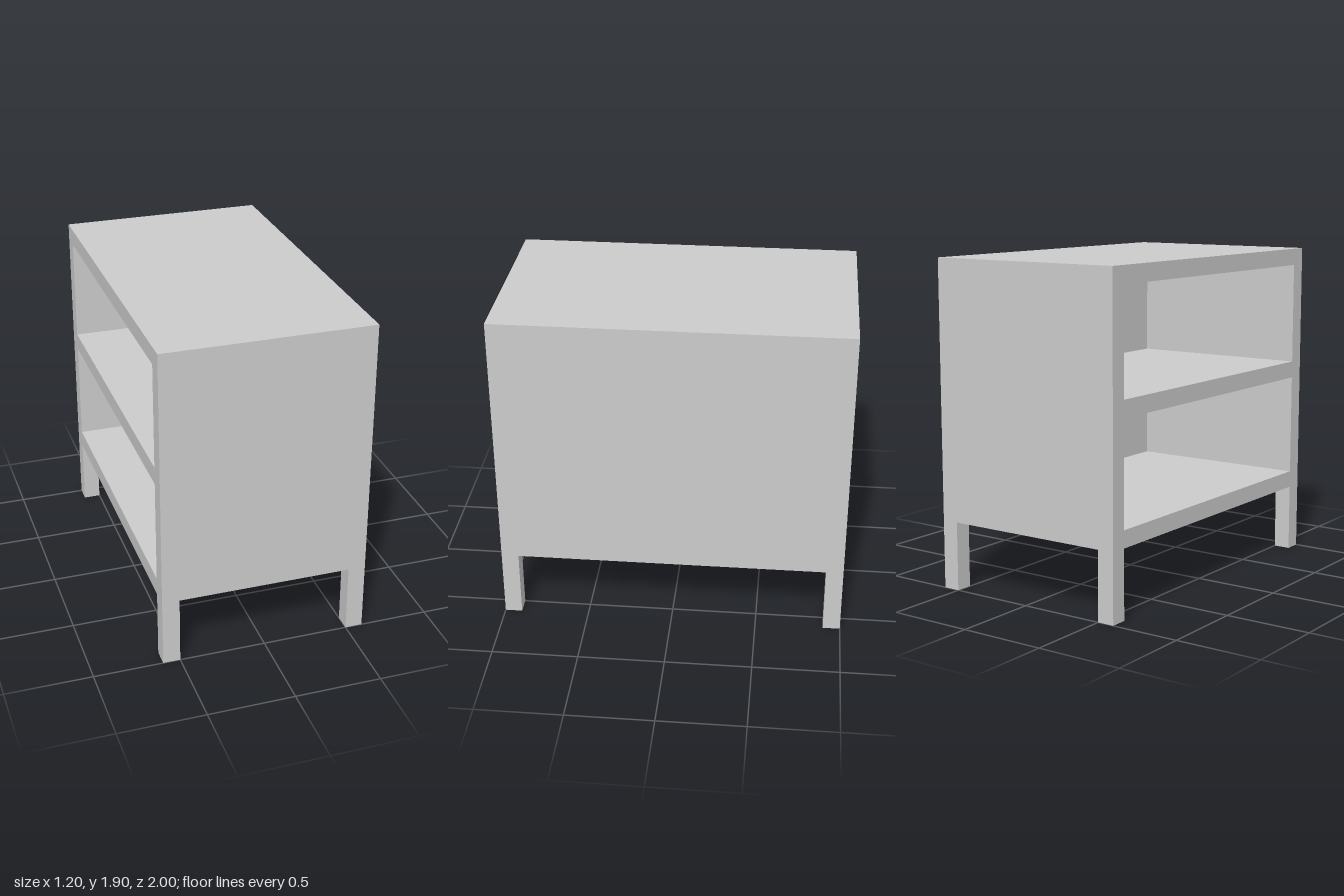
import * as THREE from 'three';

const W = 1.2, H = 1.9, D = 2, T = 0.1, LEG = 0.4;

export function createModel() {
  const model = new THREE.Group();
  model.name = 'shelfCabinet';
  const material = new THREE.MeshStandardMaterial({ color: 0xcccccc });

  function board(name, w, h, d, x, y, z) {
    const mesh = new THREE.Mesh(new THREE.BoxGeometry(w, h, d), material);
    mesh.name = name;
    mesh.position.set(x, y, z);
    model.add(mesh);
  }

  const bodyHeight = H - LEG;
  const midY = LEG + bodyHeight / 2;

  // Top and bottom boards span the full footprint
  board('topBoard', W, T, D, 0, H - T / 2, 0);
  board('bottomBoard', W, T, D, 0, LEG + T / 2, 0);

  // End walls and the closed long wall; the -x side stays open
  const wallHeight = bodyHeight - 2 * T;
  board('frontWall', W, wallHeight, T, 0, midY, D / 2 - T / 2);
  board('backWall', W, wallHeight, T, 0, midY, -D / 2 + T / 2);
  board('leftWall', T, wallHeight, D - 2 * T, W / 2 - T / 2, midY, 0);

  // Middle shelf, flush with the open side
  board('middleShelf', W - T, T, D - 2 * T, -T / 2, midY, 0);

  // Square corner legs
  for (const sx of [-1, 1]) {
    for (const sz of [-1, 1]) {
      const name = (sz > 0 ? 'front' : 'back') + (sx > 0 ? 'Left' : 'Right') + 'Leg';
      board(name, T, LEG, T, sx * (W - T) / 2, LEG / 2, sz * (D - T) / 2);
    }
  }

  return model;
}
